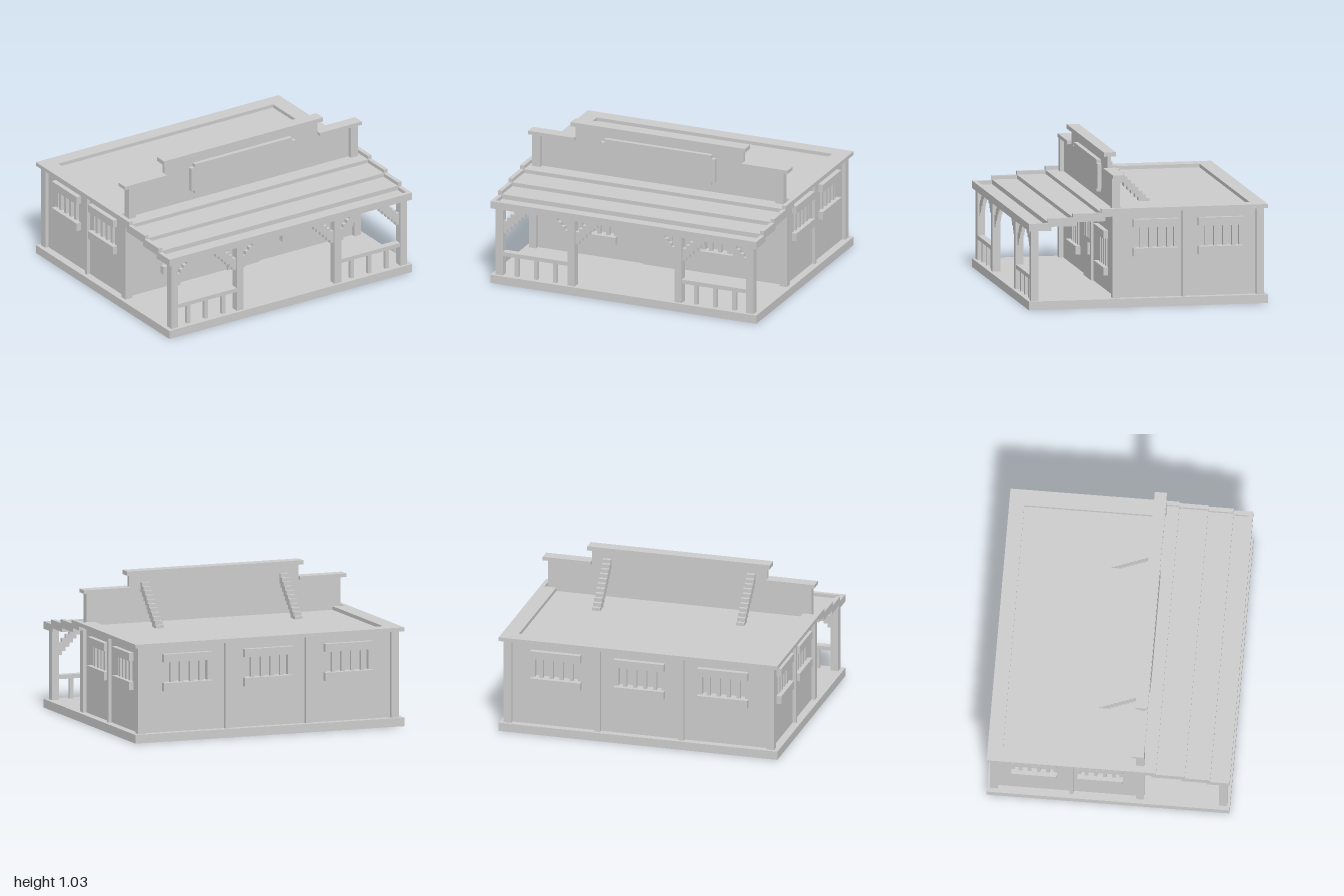
import * as THREE from 'three';

const material = new THREE.MeshStandardMaterial({ color: 0xcccccc, flatShading: true });

// Box from its limits on each axis
function box(parent, name, x0, x1, y0, y1, z0, z1) {
  const m = new THREE.Mesh(new THREE.BoxGeometry(x1 - x0, y1 - y0, z1 - z0), material);
  m.position.set((x0 + x1) / 2, (y0 + y1) / 2, (z0 + z1) / 2);
  m.name = name;
  parent.add(m);
  return m;
}

// Same box on both sides of x = 0
function pair(parent, name, x0, x1, ...rest) {
  box(parent, name, x0, x1, ...rest);
  box(parent, name, -x1, -x0, ...rest);
}

// Upright panel with rectangular holes [x0, x1, y0, y1], its face at z = face
function panel(parent, name, x0, x1, y0, y1, face, thick, holes) {
  const rect = (Type, a, b, c, d) => new Type([
    new THREE.Vector2(a, c), new THREE.Vector2(b, c), new THREE.Vector2(b, d), new THREE.Vector2(a, d)]);
  const shape = rect(THREE.Shape, x0, x1, y0, y1);
  for (const h of holes) shape.holes.push(rect(THREE.Path, ...h));
  const geo = new THREE.ExtrudeGeometry(shape, { depth: thick, bevelEnabled: false });
  geo.translate(0, 0, face - thick);
  const m = new THREE.Mesh(geo, material);
  m.name = name;
  parent.add(m);
}

// Wall with barred windows, built facing +z and turned into place
function facade(parent, name, turn, x0, x1, face, windows, width, yLow, yHigh) {
  const g = new THREE.Group();
  g.name = name;
  g.rotation.y = turn;
  const hw = width / 2;
  panel(g, 'wall', x0, x1, 0.06, 0.665, face, 0.04,
    windows.map(c => [c - hw + 0.025, c + hw - 0.025, yLow, yHigh]));
  for (const c of windows) {
    box(g, 'windowSill', c - hw, c + hw, yLow - 0.058, yLow, face - 0.04, face + 0.035);
    box(g, 'windowHeader', c - hw, c + hw, yHigh, yHigh + 0.056, face - 0.04, face + 0.035);
    for (let i = 0; i < 4; i++) {
      const x = c + (i - 1.5) * width * 0.2;
      box(g, 'windowBar', x - 0.013, x + 0.013, yLow, yHigh, face - 0.02, face + 0.006);
    }
  }
  parent.add(g);
  return g;
}

export function createModel() {
  const root = new THREE.Group();
  root.name = 'frontierBuilding';

  box(root, 'foundation', -1, 1, 0, 0.06, -0.84, 0.84);
  box(root, 'buildingCore', -0.904, 0.904, 0.06, 0.655, -0.75, 0.175);

  // Walls
  facade(root, 'frontWall', 0, -0.945, 0.945, 0.215, [-0.49, 0.49], 0.345, 0.23, 0.43);
  const back = facade(root, 'backWall', Math.PI, -0.945, 0.945, 0.79, [-0.6, 0, 0.6], 0.36, 0.405, 0.55);
  pair(back, 'wallPost', 0.28, 0.32, 0.06, 0.665, 0.78, 0.815);
  for (const s of [1, -1]) {
    const ends = [-0.19 * s, 0.79 * s].sort((a, b) => a - b);
    const side = facade(root, s > 0 ? 'leftWall' : 'rightWall', s * Math.PI / 2, ends[0], ends[1],
      0.945, [0.058 * s, 0.515 * s], 0.315, 0.405, 0.55);
    const c = 0.257 * s;
    box(side, 'wallPost', c - 0.013, c + 0.013, 0.06, 0.665, 0.935, 0.97);
  }
  pair(root, 'backCornerPost', 0.915, 0.97, 0.06, 0.665, -0.818, -0.765);
  pair(root, 'frontCornerPost', 0.915, 0.97, 0.06, 0.665, 0.19, 0.245);

  // Door with slotted panel and handle
  const slots = [-0.093, -0.034, 0.026, 0.083].map(x => [x, x + 0.03, 0.345, 0.49]);
  panel(root, 'door', -0.12, 0.14, 0.06, 0.52, 0.232, 0.02, slots);
  box(root, 'doorHandle', 0.08, 0.11, 0.235, 0.315, 0.23, 0.25);

  // Flat roof with raised rim
  box(root, 'roofRimBack', -1, 1, 0.663, 0.69, -0.84, -0.735);
  pair(root, 'roofRimSide', 0.885, 1, 0.663, 0.69, -0.735, 0.19);
  box(root, 'roofDeck', -0.9, 0.9, 0.64, 0.665, -0.76, 0.19);

  // Stepped false front
  box(root, 'falseFront', -0.945, 0.945, 0.66, 0.895, 0.19, 0.215);
  box(root, 'falseFrontTop', -0.63, 0.63, 0.895, 1.0, 0.19, 0.215);
  box(root, 'topCap', -0.655, 0.655, 1.0, 1.03, 0.16, 0.245);
  pair(root, 'sideCap', 0.63, 0.975, 0.893, 0.918, 0.16, 0.245);
  pair(root, 'falseFrontPost', 0.885, 0.945, 0.66, 0.893, 0.19, 0.245);
  box(root, 'signBoard', -0.4, 0.4, 0.72, 0.943, 0.21, 0.245);
  pair(root, 'signBoardEnd', 0.4, 0.43, 0.745, 0.917, 0.21, 0.245);

  // Stepped props behind the false front
  for (let i = -1; i < 10; i++) {
    const z = 0.16 - 0.026 * i, top = 0.92 - 0.026 * i;
    pair(root, 'falseFrontProp', 0.487, 0.545, Math.max(top - 0.07, 0.66), top, z - 0.026, z);
  }

  // Porch roof: [z back, z front, y bottom, y top] of each tier
  const tiers = [
    [0.68, 0.84, 0.55, 0.602],
    [0.505, 0.705, 0.577, 0.635],
    [0.3, 0.53, 0.605, 0.663],
    [0.19, 0.33, 0.635, 0.69],
  ];
  for (const [z0, z1, y0, y1] of tiers) {
    box(root, 'porchRoofTier', -0.97, 0.97, y0, y1 - 0.025, z0, z1);
    pair(root, 'porchRoofEdge', 0.97, 1, y0, y1, z0, z1);
  }
  box(root, 'porchFrontEdge', -0.97, 0.97, 0.55, 0.602, 0.81, 0.84);

  // Porch posts, railings and balusters
  pair(root, 'porchOuterPost', 0.915, 0.97, 0.06, 0.555, 0.765, 0.82);
  pair(root, 'porchInnerPost', 0.375, 0.43, 0.06, 0.555, 0.765, 0.82);
  pair(root, 'porchRail', 0.43, 0.915, 0.203, 0.232, 0.768, 0.817);
  for (const x of [0.53, 0.673, 0.817]) {
    pair(root, 'baluster', x - 0.014, x + 0.014, 0.06, 0.203, 0.78, 0.806);
  }

  // Stepped braces between posts and porch roof
  for (const [start, dir] of [[0.915, -1], [0.43, 1], [0.375, -1]]) {
    for (let i = 0; i < 7; i++) {
      const a = start + dir * 0.027 * i, b = a + dir * 0.027;
      const y = 0.37 + 0.027 * i;
      pair(root, 'porchBrace', Math.min(a, b), Math.max(a, b), y, Math.min(y + 0.088, 0.555), 0.779, 0.806);
    }
  }

  return root;
}
